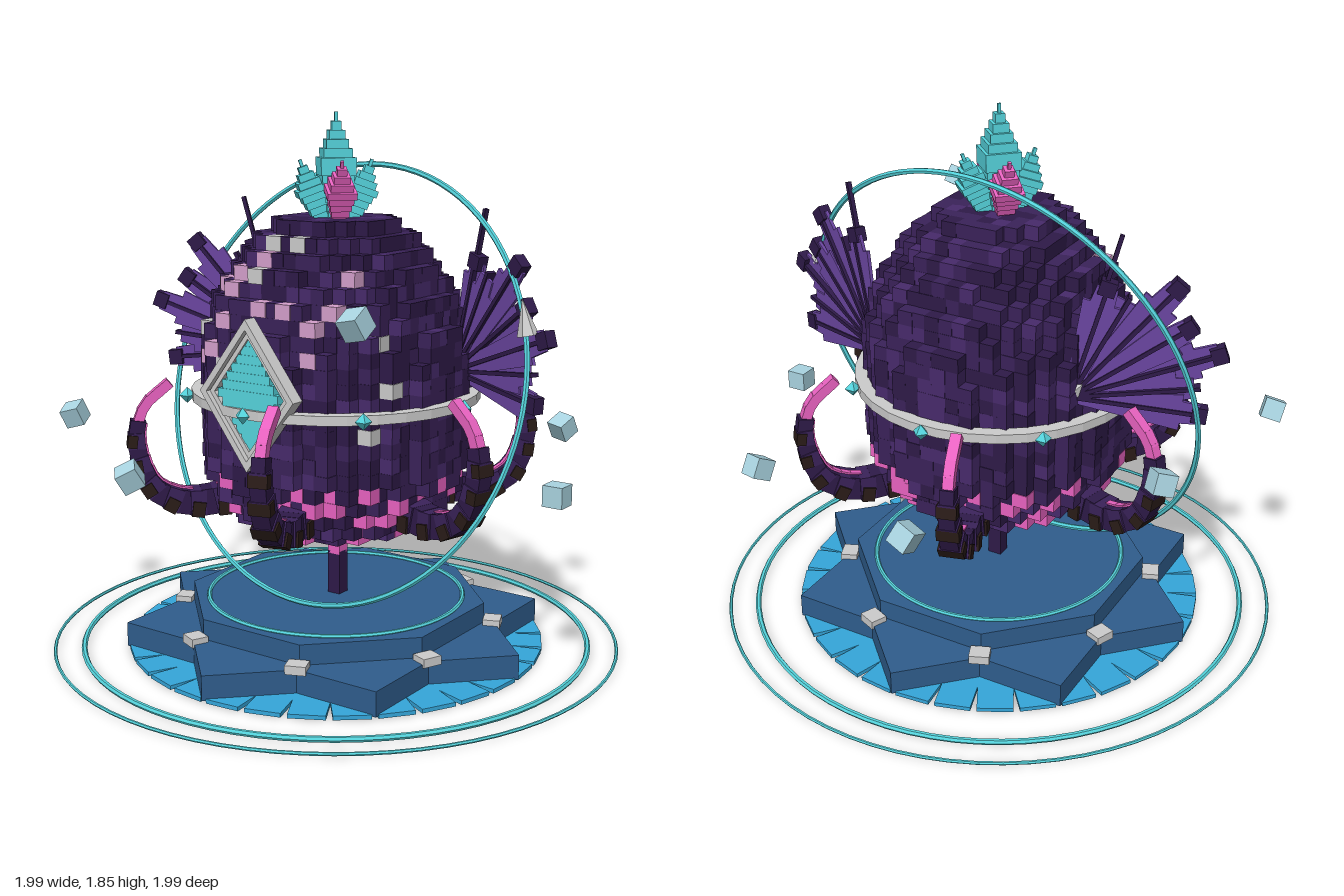
import * as THREE from 'three';
import { mergeGeometries } from 'three/addons/utils/BufferGeometryUtils.js';

const COLORS = {
  night: 0x2e1a48, plum: 0x3a2259, violet: 0x472a6b, pink: 0xe862c0, pale: 0xd49fcb, grey: 0xcccccc,
  teal: 0x55d3dc, navy: 0x2f5d8c, blue: 0x35a6da, wing: 0x6a45a0, brown: 0x2a1c18, ice: 0xa9d3e0,
};
const mats = {};
for (const k in COLORS) {
  mats[k] = new THREE.MeshStandardMaterial({ color: COLORS[k], flatShading: true, side: THREE.DoubleSide });
}

let seed = 7;
const rnd = () => (seed = (seed * 16807) % 2147483647) / 2147483647;

const mesh = (name, geo, color, x = 0, y = 0, z = 0) => {
  const m = new THREE.Mesh(geo, mats[color]);
  m.name = name;
  m.position.set(x, y, z);
  return m;
};
const box = (w, h, d, x = 0, y = 0, z = 0, rotZ = 0) =>
  new THREE.BoxGeometry(w, h, d).rotateZ(rotZ).translate(x, y, z);

// Collects geometries by colour and makes one mesh for each colour
class Pile {
  constructor() { this.lists = {}; }
  add(color, geo) { (this.lists[color] ??= []).push(geo); }
  build(name) {
    const g = new THREE.Group();
    g.name = name;
    for (const c in this.lists) g.add(mesh(`${name}_${c}`, mergeGeometries(this.lists[c]), c));
    return g;
  }
}

function ring(name, radius, tube, y) {
  const m = mesh(name, new THREE.TorusGeometry(radius, tube, 6, 72), 'teal', 0, y, 0);
  m.rotation.x = Math.PI / 2;
  return m;
}

function makeBase() {
  const g = new THREE.Group();
  g.name = 'base';
  // eight-pointed star plinth
  const pts = [];
  for (let i = 0; i < 16; i++) {
    const a = i * Math.PI / 8, r = i % 2 ? 0.568 : 0.74;
    pts.push(new THREE.Vector2(r * Math.cos(a), r * Math.sin(a)));
  }
  const star = new THREE.ExtrudeGeometry(new THREE.Shape(pts), { depth: 0.085, bevelEnabled: false });
  g.add(mesh('starPlinth', star.rotateX(-Math.PI / 2), 'navy', 0, 0.01, 0));
  g.add(mesh('upperPlinth', new THREE.CylinderGeometry(0.53, 0.53, 0.07, 8).rotateY(Math.PI / 8), 'navy', 0, 0.13, 0));
  // flat tiles fanned around the floor
  const parts = new Pile();
  for (let i = 0; i < 32; i++) parts.add('blue', box(0.23, 0.014, 0.122, 0.615, 0.009).rotateY((i + 0.5) * Math.PI / 16));
  for (let i = 0; i < 8; i++) parts.add('grey', box(0.06, 0.03, 0.07, 0.56, 0.1).rotateY((i + 0.5) * Math.PI / 4));
  g.add(parts.build('floorTilesAndClamps'));
  g.add(ring('outerFloorRing', 0.99, 0.006, 0.012), ring('innerFloorRing', 0.89, 0.01, 0.012), ring('plinthRing', 0.45, 0.008, 0.168));
  g.add(mesh('stemFoot', box(0.05, 0.16, 0.05), 'night', 0, 0.24, -0.01));
  g.add(mesh('stemTop', box(0.05, 0.12, 0.05), 'pink', 0, 0.37, -0.01));
  return g;
}

// Egg-shaped shell of small cubes
function makeBody() {
  const s = 0.0495, layers = 22, y0 = 0.41;
  const profile = [[0.41, 0.21], [0.44, 0.23], [0.48, 0.32], [0.55, 0.4], [0.65, 0.435], [0.8, 0.455], [1, 0.45],
    [1.15, 0.425], [1.23, 0.395], [1.31, 0.345], [1.4, 0.285], [1.46, 0.22], [1.51, 0.15]];
  const radius = (y) => {
    for (let i = 1; i < profile.length; i++) {
      const [ya, ra] = profile[i - 1], [yb, rb] = profile[i];
      if (y <= yb) return ra + (rb - ra) * (y - ya) / (yb - ya);
    }
    return 0;
  };
  const solid = (i, j, k) => j >= 0 && j < layers && Math.hypot(i + 0.5, k + 0.5) * s <= radius(y0 + (j + 0.5) * s);
  const pile = new Pile();
  for (let j = 0; j < layers; j++) for (let i = -10; i < 10; i++) for (let k = -10; k < 10; k++) {
    if (!solid(i, j, k)) continue;
    if (solid(i + 1, j, k) && solid(i - 1, j, k) && solid(i, j + 1, k) && solid(i, j - 1, k) && solid(i, j, k + 1) && solid(i, j, k - 1)) continue;
    const x = (i + 0.5) * s, y = y0 + (j + 0.5) * s, z = (k + 0.5) * s;
    const t = rnd(), shade = rnd();
    let color = shade < 0.4 ? 'night' : shade < 0.8 ? 'plum' : 'violet', size = s * (1 + 0.12 * rnd());
    if (y < 0.68 && t < 0.36) color = 'pink';
    else if (y > 0.75 && z > 0.1 && t < 0.13) {
      color = t < 0.045 ? 'grey' : 'pale';
      size = s * 1.2;
    }
    pile.add(color, box(size, s, size, x, y, z));
  }
  return pile.build('body');
}

// Band of straight links with gems
function makeBelt() {
  const pile = new Pile();
  for (let i = 0; i < 32; i++) pile.add('grey', box(0.045, 0.032, 0.098, 0.475, 0.9).rotateY(i * Math.PI / 16));
  for (let i = 0; i < 8; i++) pile.add('teal', new THREE.OctahedronGeometry(0.028).translate(0.515, 0.9, 0).rotateY(i * Math.PI / 4));
  return pile.build('belt');
}

function diamondFrame(w, h, inner, depth) {
  const pts = (f) => [[w * f, 0], [0, h * f], [-w * f, 0], [0, -h * f]].map(([x, y]) => new THREE.Vector2(x, y));
  const shape = new THREE.Shape(pts(1));
  shape.holes.push(new THREE.Path(pts(inner)));
  return new THREE.ExtrudeGeometry(shape, { depth, bevelEnabled: false });
}

function makeEmblem() {
  const pile = new Pile();
  pile.add('grey', diamondFrame(0.19, 0.25, 0.86, 0.05).translate(0, 0.96, 0.45));
  pile.add('grey', diamondFrame(0.16, 0.21, 0.88, 0.03).translate(0, 0.96, 0.455));
  // stepped gem built from rows
  for (let i = -6; i <= 6; i++) {
    const w = 0.245 * (1 - Math.abs(i) / 7);
    pile.add('teal', box(w, 0.029, 0.04 + 0.03 * (1 - Math.abs(i) / 7), 0, 0.96 + i * 0.029, 0.455));
  }
  return pile.build('frontEmblem');
}

function makeWing(side) {
  const pile = new Pile();
  // angle in degrees, length, whether the tip has a block
  const feathers = [[-6, 0.44, 1], [7, 0.42, 0], [20, 0.52, 1], [35, 0.47, 1], [50, 0.53, 1], [63, 0.4, 0], [74, 0.42, 1]];
  feathers.forEach(([deg, len, tip], n) => {
    const a = deg * Math.PI / 180, e = len * 0.82, dz = (n % 3 - 1) * 0.006;
    const plate = new THREE.Shape([[0, -0.02], [e, -0.065], [e, -0.04], [len - 0.02, -0.035],
      [len - 0.02, 0.035], [e, 0.04], [e, 0.065], [0, 0.02]].map(([x, y]) => new THREE.Vector2(x, y)));
    pile.add('wing', new THREE.ExtrudeGeometry(plate, { depth: 0.012, bevelEnabled: false }).rotateZ(a).translate(0, 0, dz - 0.006));
    pile.add('night', box(len, 0.014, 0.035, len / 2).rotateZ(a));
    if (tip) pile.add('night', box(0.05, 0.055, 0.04, len - 0.02).rotateZ(a));
  });
  pile.add('night', box(0.58, 0.014, 0.016, 0.29).rotateZ(1.31));
  pile.add('grey', new THREE.ConeGeometry(0.035, 0.08, 6).rotateZ(-0.9).translate(0.04, 0.05, 0));
  const wing = pile.build('wingFan');
  wing.position.set(0.37, 0.98, -0.19);
  wing.rotation.y = -0.4;
  const g = new THREE.Group();
  g.name = side > 0 ? 'leftWing' : 'rightWing';
  g.scale.x = side;
  g.add(wing);
  return g;
}

// Curled arm of boxes following a curve, lying in the x-y plane
function makeTentacle(angle) {
  const path = [[0.3, 0.57], [0.42, 0.535], [0.54, 0.535], [0.635, 0.585], [0.68, 0.68], [0.69, 0.78], [0.66, 0.87], [0.58, 0.945]];
  const curve = new THREE.CatmullRomCurve3(path.map(([x, y]) => new THREE.Vector3(x, y, 0)));
  const pile = new Pile(), count = 18;
  for (let i = 0; i < count; i++) {
    const t = (i + 0.5) / count, p = curve.getPointAt(t), d = curve.getTangentAt(t), a = Math.atan2(d.y, d.x);
    const w = 0.105 - 0.07 * t, len = 0.055;
    if (t > 0.8) {
      pile.add('pink', box(len, 0.034, 0.036, p.x, p.y, 0, a));
      continue;
    }
    pile.add(i % 2 ? 'night' : 'plum', box(len, w, w * (i % 2 ? 0.9 : 1), p.x, p.y, 0, a));
    // dark plates on the outer side of the curl
    if (i % 2 === 0) pile.add('brown', box(len * 0.8, w * 0.6, w * 1.18, p.x + d.y * w * 0.25, p.y - d.x * w * 0.25, 0, a + 0.15));
    if (t > 0.3) pile.add('pink', box(len * 0.7, 0.012, 0.022, p.x - d.y * w * 0.5, p.y + d.x * w * 0.5, 0, a));
  }
  const g = pile.build('tentacle');
  g.rotation.y = -angle;
  return g;
}

// Crystal made of stacked square slabs
function makeCrystal(color, height, width, steps) {
  const parts = [];
  for (let i = 0; i < steps; i++) {
    const t = (i + 0.5) / steps, w = width * (t < 0.5 ? 0.45 + 1.1 * t : 2.1 * (1 - t));
    parts.push(box(w, height / steps, w, 0, t * height, 0));
  }
  return mesh('crystal', mergeGeometries(parts), color);
}

function makeCrown() {
  const g = new THREE.Group();
  g.name = 'crown';
  const centre = makeCrystal('teal', 0.36, 0.125, 12);
  centre.position.y = 1.49;
  centre.rotation.y = Math.PI / 4;
  g.add(centre);
  for (let i = 0; i < 4; i++) {
    const c = makeCrystal(i % 2 ? 'teal' : 'pink', 0.215, 0.095, 9);
    c.position.set(0.05, 1.49, 0);
    c.rotation.z = -0.35;
    const arm = new THREE.Group();
    arm.rotation.y = -(i + 0.5) * Math.PI / 2;
    arm.add(c);
    g.add(arm);
  }
  return g;
}

export function createModel() {
  const model = new THREE.Group();
  model.add(makeBase(), makeBody(), makeBelt(), makeEmblem(), makeWing(1), makeWing(-1), makeCrown());
  for (let i = 0; i < 6; i++) model.add(makeTentacle((14 + 60 * i) * Math.PI / 180));

  // tilted orbit with its cone marker
  const orbit = mesh('tiltedOrbit', new THREE.TorusGeometry(0.77, 0.01, 6, 90), 'teal', 0, 0.93, 0);
  orbit.rotation.set(-0.285, -0.09, 0, 'YXZ');
  const cone = mesh('orbitCone', new THREE.ConeGeometry(0.035, 0.12, 6), 'grey', 0.73, 1.22, 0);
  cone.rotation.z = 0.2;
  model.add(orbit, cone);

  // floating cubes
  const cubes = [[-0.21, 0.81, -0.94], [0.53, 0.71, -0.69], [-0.78, 0.87, -0.38], [-0.86, 0.78, 0.41],
    [0.86, 0.66, 0], [0.6, 1.28, 0.75], [-0.19, 0.74, 0.84]];
  cubes.forEach(([x, y, z], i) => {
    const c = mesh('floatingCube', box(0.07, 0.07, 0.07), 'ice', x, y, z);
    if (i !== 4) c.rotation.set(0.2 + rnd() * 0.3, rnd() * 1.5, 0.1 + rnd() * 0.3);
    model.add(c);
  });
  return model;
}
